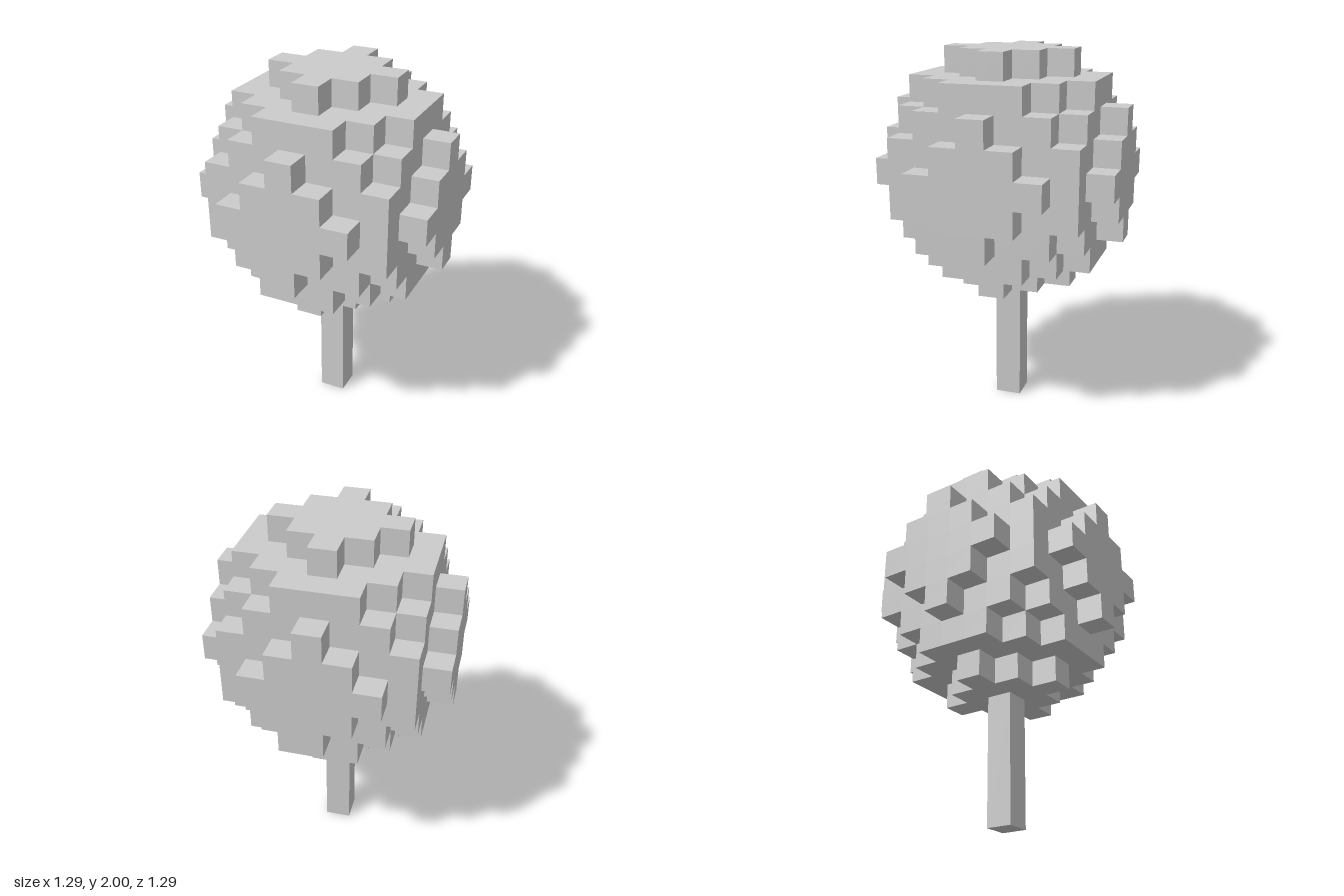
import * as THREE from 'three';
import { mergeGeometries } from 'three/addons/utils/BufferGeometryUtils.js';

const CELL = 1 / 7;         // edge of one block
const RADIUS = 4;           // crown reaches 4 blocks either side of its centre block
const TRUNK_BLOCKS = 5;     // trunk height in blocks

// A block belongs to the crown when its centre lies in the ball
const inCrown = (x, y, z) => x * x + y * y + z * z <= 20;

// One outward-facing square for each of the six block sides
function blockSides() {
  const sides = [];
  for (const axis of ['x', 'y', 'z']) {
    for (const sign of [-1, 1]) {
      const dir = new THREE.Vector3();
      dir[axis] = sign;
      const turn = new THREE.Quaternion().setFromUnitVectors(new THREE.Vector3(0, 0, 1), dir);
      const face = new THREE.PlaneGeometry(CELL, CELL)
        .translate(0, 0, CELL / 2)
        .applyQuaternion(turn);
      sides.push({ dir, face });
    }
  }
  return sides;
}

// Outer skin of the block ball: only sides with no neighbouring block
function crownGeometry() {
  const sides = blockSides();
  const skin = [];
  for (let x = -RADIUS; x <= RADIUS; x++)
    for (let y = -RADIUS; y <= RADIUS; y++)
      for (let z = -RADIUS; z <= RADIUS; z++) {
        if (!inCrown(x, y, z)) continue;
        for (const { dir, face } of sides) {
          if (inCrown(x + dir.x, y + dir.y, z + dir.z)) continue;
          skin.push(face.clone().translate(x * CELL, y * CELL, z * CELL));
        }
      }
  return mergeGeometries(skin);
}

export function createModel() {
  const tree = new THREE.Group();
  tree.name = 'blockTree';
  const material = new THREE.MeshStandardMaterial({ color: 0xcccccc, flatShading: true });

  // Trunk: one block wide, ending at the underside of the crown
  const trunkHeight = TRUNK_BLOCKS * CELL;
  const trunk = new THREE.Mesh(new THREE.BoxGeometry(CELL, trunkHeight, CELL), material);
  trunk.name = 'trunk';
  trunk.position.y = trunkHeight / 2;

  // Crown: stepped ball of blocks
  const crown = new THREE.Mesh(crownGeometry(), material);
  crown.name = 'crown';
  crown.position.y = trunkHeight + (RADIUS + 0.5) * CELL;

  tree.add(trunk, crown);
  return tree;
}
